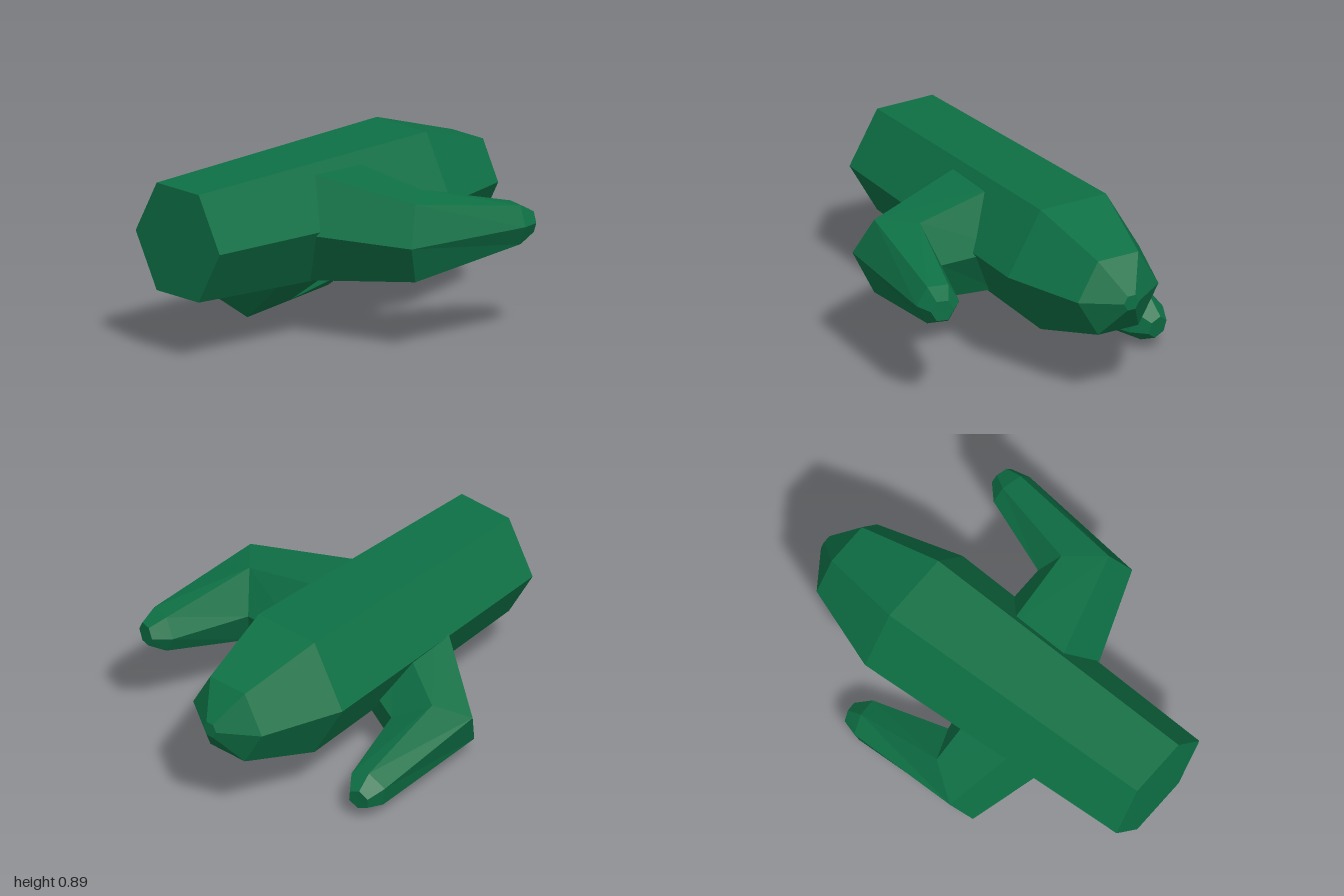
import * as THREE from 'three';

// Skin a list of equal-sized rings (counter-clockwise seen from the tip), with flat caps.
function loft(rings) {
  const pos = [];
  const tri = (a, b, c) => pos.push(...a, ...b, ...c);
  const n = rings[0].length;
  for (let i = 0; i < rings.length - 1; i++) {
    for (let k = 0; k < n; k++) {
      const a = rings[i][k], b = rings[i][(k + 1) % n];
      const c = rings[i + 1][(k + 1) % n], d = rings[i + 1][k];
      tri(a, b, c);
      tri(a, c, d);
    }
  }
  const first = rings[0], last = rings[rings.length - 1];
  for (let k = 1; k < n - 1; k++) {
    tri(first[0], first[k + 1], first[k]);
    tri(last[0], last[k], last[k + 1]);
  }
  const g = new THREE.BufferGeometry();
  g.setAttribute('position', new THREE.Float32BufferAttribute(pos, 3));
  g.computeVertexNormals();
  return g;
}

// Hexagon facing -z
function hexRing(x, y, z, r) {
  return Array.from({ length: 6 }, (_, k) => {
    const a = (k * Math.PI) / 3;
    return [x + r * Math.cos(a), y - r * Math.sin(a), z];
  });
}

// Six-sided arm section, mirrored in y: outer ridge, outer edge, inner edge, inner ridge
function armRing(ridgeOut, edgeOut, edgeIn, ridgeIn) {
  const flip = ([x, y, z]) => [x, -y, z];
  return [ridgeOut, flip(edgeOut), flip(edgeIn), ridgeIn, edgeIn, edgeOut];
}

export function createModel() {
  const model = new THREE.Group();
  model.name = 'cactus';
  const green = new THREE.MeshStandardMaterial({ color: 0x0e7045, flatShading: true });
  green.name = 'cactus green';

  // Trunk lying along z, tip at the back
  const trunk = new THREE.Mesh(loft([
    hexRing(-0.095, 0.585, 1, 0.305),
    hexRing(-0.16, 0.585, -0.46, 0.36),
    hexRing(-0.162, 0.585, -0.875, 0.222),
    hexRing(-0.162, 0.585, -1, 0.042),
  ]), green);
  trunk.name = 'trunk';
  model.add(trunk);

  // Bent arm: root inside the trunk, elbow, shoulder of the tip, blunt end
  const armGeometry = loft([
    armRing([0, 0, 0.459], [0, 0.268, 0.3], [0, 0.268, -0.007], [0, 0, -0.145]),
    armRing([0.67, 0, 0.195], [0.6, 0.19, 0.11], [0.45, 0.205, -0.06], [0.38, 0, -0.145]),
    armRing([0.715, 0, -0.48], [0.665, 0.095, -0.493], [0.563, 0.095, -0.518], [0.51, 0, -0.53]),
    armRing([0.69, 0, -0.57], [0.663, 0.05, -0.578], [0.608, 0.05, -0.593], [0.58, 0, -0.6]),
  ]);

  const arms = [
    ['leftArm', [0, 0.565, 0], 0],
    ['rightArm', [-0.138, 0.538, 0.125], 220],
  ];
  for (const [name, position, degrees] of arms) {
    const arm = new THREE.Mesh(armGeometry, green);
    arm.name = name;
    arm.position.set(...position);
    arm.rotation.z = THREE.MathUtils.degToRad(degrees);
    model.add(arm);
  }
  return model;
}
